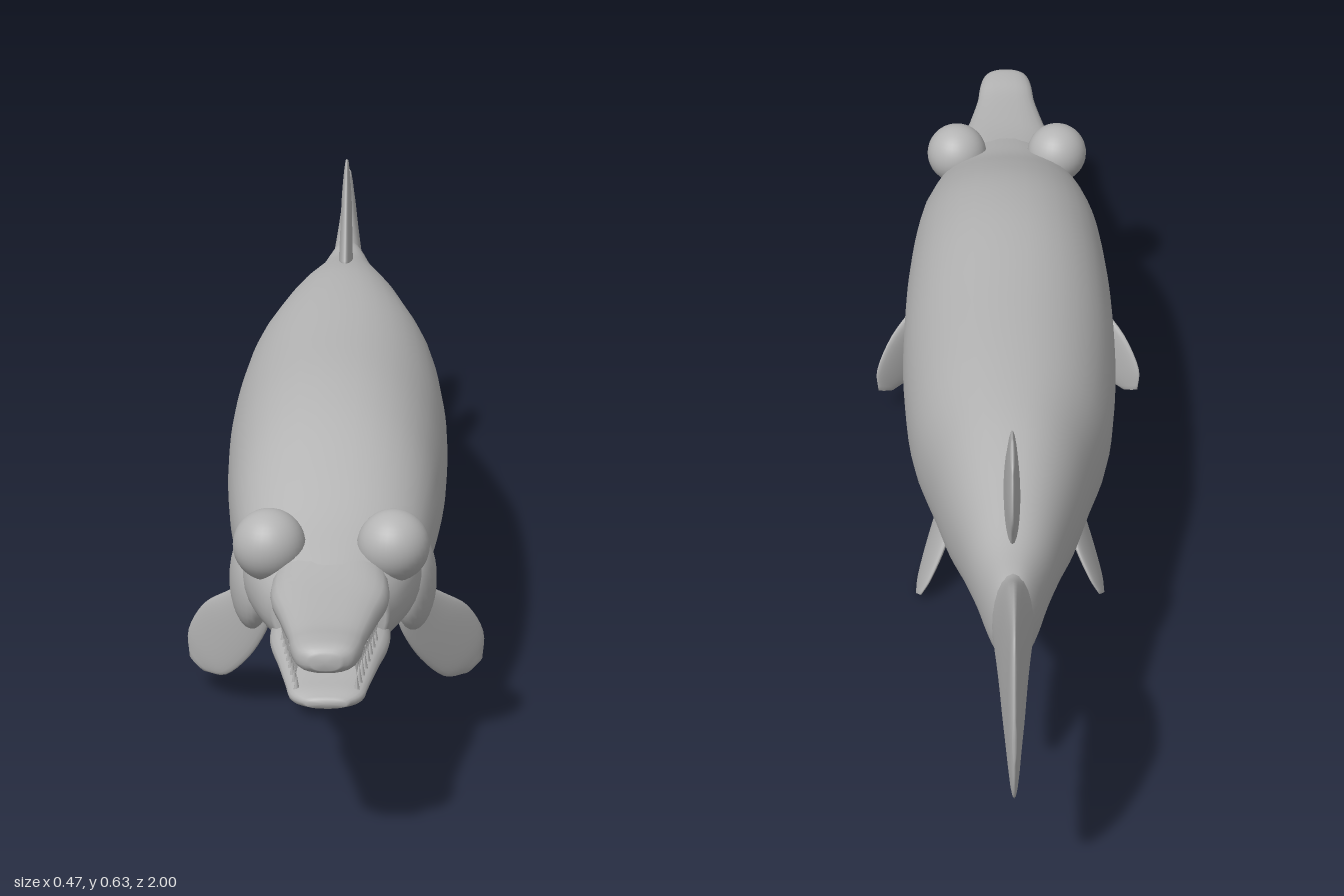
import * as THREE from 'three';

const skin = new THREE.MeshStandardMaterial({ color: 0xb4b4b4 });
skin.name = 'grey skin';

const V = (x, y, z) => new THREE.Vector3(x, y, z);

// Smooth closed skin over lens sections [edgeA, edgeB, halfThickness], thickness along n
function loft(sections, n, { sides = 24, steps = 4, power = 1 } = {}) {
  const bend = (v) => Math.sign(v) * Math.pow(Math.abs(v), power);
  const count = (sections.length - 1) * steps;
  const pos = [], index = [];
  const columns = [];
  for (let j = 0; j < sides; j++) {
    const t = (j / sides) * Math.PI * 2;
    const line = sections.map(([a, b, h]) => a.clone().add(b).multiplyScalar(0.5)
      .addScaledVector(a.clone().sub(b), 0.5 * bend(Math.cos(t)))
      .addScaledVector(n, h * bend(Math.sin(t))));
    columns.push(new THREE.CatmullRomCurve3(line, false, 'catmullrom', 0.5).getPoints(count));
  }
  for (let i = 0; i <= count; i++) for (const c of columns) pos.push(c[i].x, c[i].y, c[i].z);
  for (let i = 0; i < count; i++) for (let j = 0; j < sides; j++) {
    const k = (j + 1) % sides, a = i * sides + j, b = i * sides + k;
    index.push(a, b, b + sides, a, b + sides, a + sides);
  }
  // end caps
  for (const i of [0, count]) {
    const mid = columns.reduce((s, c) => s.add(c[i]), V(0, 0, 0)).divideScalar(sides);
    const m = pos.length / 3;
    pos.push(mid.x, mid.y, mid.z);
    for (let j = 0; j < sides; j++) {
      const a = i * sides + j, b = i * sides + (j + 1) % sides;
      if (i === 0) index.push(m, b, a); else index.push(m, a, b);
    }
  }
  // turn the faces outward
  const at = (i) => V(pos[3 * i], pos[3 * i + 1], pos[3 * i + 2]);
  let volume = 0;
  for (let i = 0; i < index.length; i += 3)
    volume += at(index[i]).dot(at(index[i + 1]).cross(at(index[i + 2])));
  if (volume < 0) index.reverse();
  const g = new THREE.BufferGeometry();
  g.setAttribute('position', new THREE.Float32BufferAttribute(pos, 3));
  g.setIndex(index);
  g.computeVertexNormals();
  return g;
}

// Rows [z, halfWidth, top, bottom] along the centre line
const along = (rows, options) =>
  loft(rows.map(([z, w, t, b]) => [V(0, t, z), V(0, b, z), w]), V(1, 0, 0), options);

export function createModel() {
  const group = new THREE.Group();
  const add = (name, geometry) => {
    const mesh = new THREE.Mesh(geometry, skin);
    mesh.name = name;
    group.add(mesh);
    return mesh;
  };

  add('body', along([
    [0.73, 0.08, 0.35, 0.222], [0.68, 0.105, 0.364, 0.213], [0.6, 0.13, 0.388, 0.2],
    [0.5, 0.147, 0.43, 0.193], [0.4, 0.16, 0.466, 0.172], [0.3, 0.168, 0.488, 0.15],
    [0.18, 0.174, 0.5, 0.136], [0, 0.175, 0.503, 0.133], [-0.2, 0.16, 0.506, 0.155],
    [-0.35, 0.127, 0.502, 0.188], [-0.45, 0.105, 0.49, 0.218], [-0.55, 0.08, 0.472, 0.265],
    [-0.64, 0.058, 0.457, 0.298], [-0.72, 0.038, 0.457, 0.308], [-0.76, 0.02, 0.45, 0.33],
  ], { sides: 40, power: 0.92 }));

  add('tailFin', along([
    [-0.66, 0.035, 0.45, 0.31], [-0.72, 0.032, 0.46, 0.305], [-0.8, 0.024, 0.508, 0.266],
    [-0.87, 0.018, 0.535, 0.243], [-0.93, 0.012, 0.543, 0.236], [-0.965, 0.009, 0.528, 0.255],
    [-0.988, 0.006, 0.475, 0.3], [-1, 0.003, 0.42, 0.355],
  ]));

  // Long snout
  add('upperJaw', along([
    [0.64, 0.08, 0.368, 0.26], [0.74, 0.085, 0.351, 0.283], [0.82, 0.069, 0.344, 0.289],
    [0.9, 0.054, 0.341, 0.296], [0.95, 0.049, 0.345, 0.298], [0.985, 0.04, 0.345, 0.303],
    [1, 0.02, 0.335, 0.312],
  ], { power: 0.8 }));
  add('lowerJaw', along([
    [0.64, 0.085, 0.28, 0.208], [0.74, 0.086, 0.276, 0.223], [0.82, 0.072, 0.27, 0.23],
    [0.9, 0.058, 0.264, 0.235], [0.94, 0.05, 0.262, 0.235], [0.965, 0.028, 0.256, 0.242],
  ], { power: 0.8 }));

  // Fins on the centre line, sections [leadZ, leadY, trailZ, trailY, halfThickness]
  const middleFin = (name, rows) => add(name, loft(
    rows.map(([az, ay, bz, by, h]) => [V(0, ay, az), V(0, by, bz), h]), V(1, 0, 0)));
  middleFin('dorsalFin', [
    [-0.42, 0.48, -0.63, 0.44, 0.013], [-0.49, 0.54, -0.655, 0.478, 0.011],
    [-0.55, 0.592, -0.688, 0.53, 0.009], [-0.59, 0.623, -0.69, 0.575, 0.006],
    [-0.63, 0.634, -0.672, 0.615, 0.003],
  ]);
  middleFin('analFin', [
    [-0.41, 0.225, -0.57, 0.31, 0.018], [-0.5, 0.168, -0.635, 0.285, 0.014],
    [-0.57, 0.142, -0.672, 0.24, 0.01], [-0.63, 0.133, -0.682, 0.19, 0.006],
    [-0.66, 0.136, -0.68, 0.155, 0.003],
  ]);

  for (const [side, s] of [['left', 1], ['right', -1]]) {
    // Front paired fin, sections [leadX, leadY, trailX, trailY, halfThickness]
    const pectoral = (x, y) => V(s * x, y, 0.56 - x);
    add(side + 'PectoralFin', loft([
      [0.095, 0.19, 0.13, 0.225, 0.014], [0.105, 0.15, 0.165, 0.195, 0.012],
      [0.132, 0.098, 0.205, 0.158, 0.01], [0.17, 0.053, 0.231, 0.105, 0.007],
      [0.205, 0.044, 0.23, 0.06, 0.003],
    ].map(([ax, ay, bx, by, h]) => [pectoral(ax, ay), pectoral(bx, by), h]),
    V(s * 0.71, 0, 0.71)));

    // Belly paired fin, sections [leadZ, leadY, trailZ, trailY, halfThickness]
    const pelvic = (z, y) => V(s * (0.085 + (0.15 - y) * 0.48), y, z);
    add(side + 'PelvicFin', loft([
      [0.02, 0.165, -0.07, 0.18, 0.014], [-0.02, 0.108, -0.125, 0.145, 0.012],
      [-0.08, 0.052, -0.18, 0.105, 0.01], [-0.14, 0.013, -0.206, 0.055, 0.007],
      [-0.18, 0.004, -0.205, 0.02, 0.003],
    ].map(([az, ay, bz, by, h]) => [pelvic(az, ay), pelvic(bz, by), h]),
    V(s * 0.9, 0.43, 0)));

    add(side + 'Eye', new THREE.SphereGeometry(0.053, 32, 20)).position.set(s * 0.09, 0.363, 0.645);

    const gill = add(side + 'GillCover', new THREE.SphereGeometry(1, 24, 16));
    gill.scale.set(0.03, 0.072, 0.065);
    gill.position.set(s * 0.123, 0.268, 0.545);
    gill.rotation.y = s * -0.2;

    // Teeth along both jaws
    for (let i = 0; i < 8; i++) {
      const z = 0.77 + i * 0.023, x = s * (0.066 - i * 0.0035);
      const upper = add(side + 'UpperTooth', new THREE.ConeGeometry(0.005, 0.026, 6));
      upper.position.set(x, 0.289 + i * 0.001, z + 0.01);
      upper.rotation.x = Math.PI;
      add(side + 'LowerTooth', new THREE.ConeGeometry(0.005, 0.026, 6))
        .position.set(x, 0.273 - i * 0.0008, z);
    }
  }
  return group;
}
